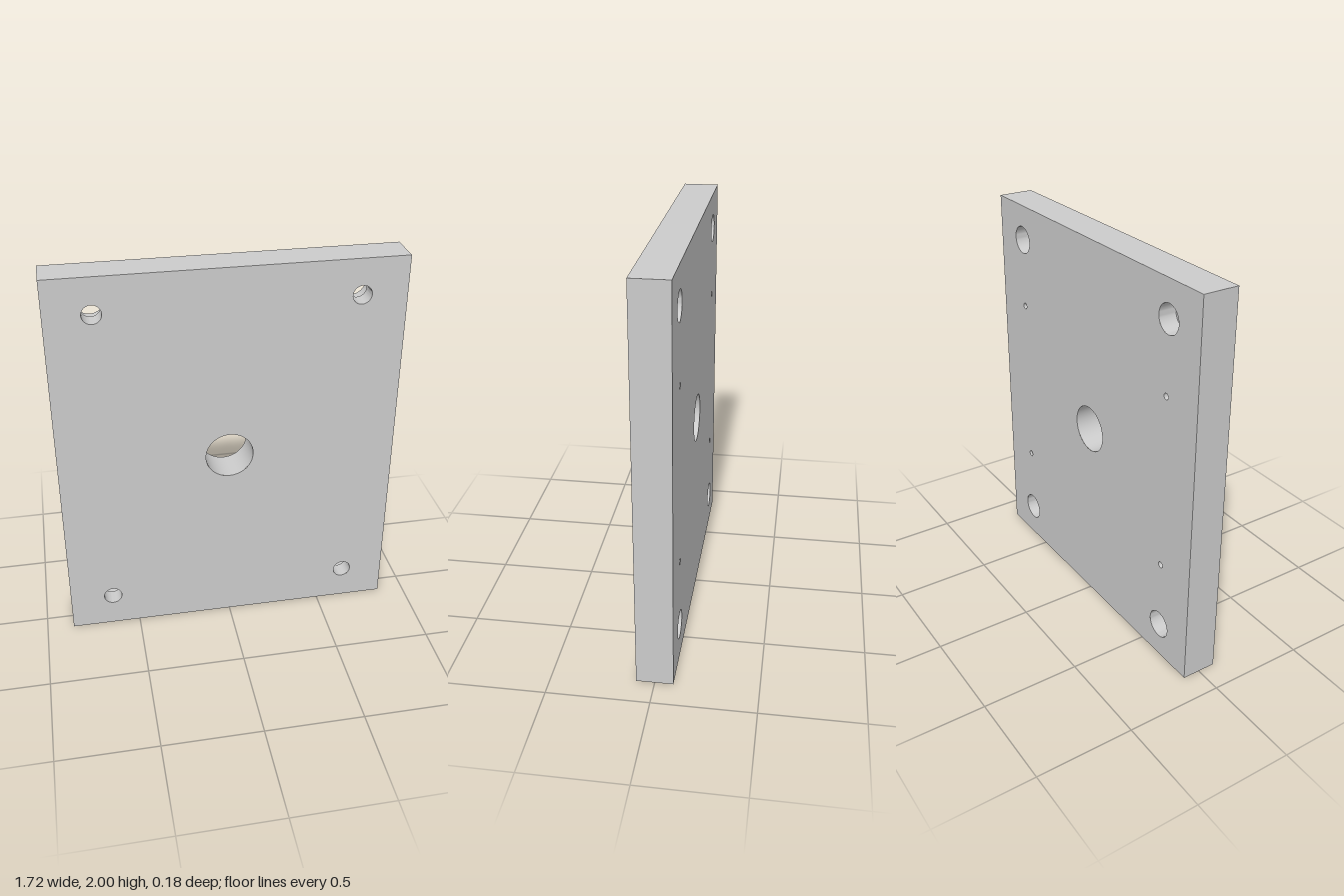
import * as THREE from 'three';
import { toCreasedNormals } from 'three/addons/utils/BufferGeometryUtils.js';

const W = 1.72, H = 2, T = 0.09; // width, height, half thickness
const SEG = 48;

// Hole positions, relative to the plate centre
const corners = [], pins = [];
for (const sx of [-1, 1]) for (const sy of [-1, 1]) {
  corners.push([sx * 0.636, sy * 0.818]);
  pins.push([sx * 0.636, sy * 0.454]);
}
const CENTRE_R = 0.121, BOLT_R = 0.047, BORE_R = 0.071, PIN_R = 0.016;

export function createModel() {
  const group = new THREE.Group();
  group.name = 'mountingPlate';
  const material = new THREE.MeshStandardMaterial({ color: 0xcccccc });

  const add = (name, geometry, x = 0, y = 0) => {
    const mesh = new THREE.Mesh(geometry, material);
    mesh.name = name;
    mesh.position.set(x, y + H / 2, 0);
    group.add(mesh);
    return mesh;
  };

  // Flat rectangular face pierced by [x, y, radius] holes
  const face = (holes) => {
    const shape = new THREE.Shape([[-1, -1], [1, -1], [1, 1], [-1, 1]]
      .map(([x, y]) => new THREE.Vector2(x * W / 2, y * H / 2)));
    for (const [x, y, r] of holes) {
      shape.holes.push(new THREE.Path().absarc(x, y, r, 0, Math.PI * 2, true));
    }
    return new THREE.ShapeGeometry(shape, SEG);
  };

  // Hole wall turned from [radius, z] steps, running front to back so it faces inward
  const bore = (profile) => toCreasedNormals(
    new THREE.LatheGeometry(profile.map(([r, z]) => new THREE.Vector2(r, z)), SEG)
      .rotateX(Math.PI / 2), Math.PI / 6);

  // Plate faces: plain bolt holes in front, counterbores and pin holes behind
  const centre = [0, 0, CENTRE_R];
  add('frontFace', face([centre, ...corners.map(([x, y]) => [x, y, BOLT_R])]))
    .position.z = T;
  add('backFace', face([centre,
    ...corners.map(([x, y]) => [x, y, BORE_R]),
    ...pins.map(([x, y]) => [x, y, PIN_R])]).rotateY(Math.PI)).position.z = -T;

  // Plate edges: the four outer sides of a box, without its front and back
  const edges = new THREE.BoxGeometry(W, H, 2 * T);
  edges.setIndex(Array.from(edges.index.array.slice(0, 24)));
  edges.clearGroups();
  add('plateEdges', edges);

  // Central through hole
  add('centreHole', bore([[CENTRE_R, T], [CENTRE_R, -T]]));

  // Corner bolt holes, counterbored from the back
  const boltHole = bore([[BOLT_R, T], [BOLT_R, 0], [BORE_R, 0], [BORE_R, -T]]);
  for (const [x, y] of corners) add('boltHole', boltHole, x, y);

  // Blind pin holes in the back
  const pinHole = bore([[0, 0], [PIN_R, 0], [PIN_R, -T]]);
  for (const [x, y] of pins) add('pinHole', pinHole, x, y);

  return group;
}
